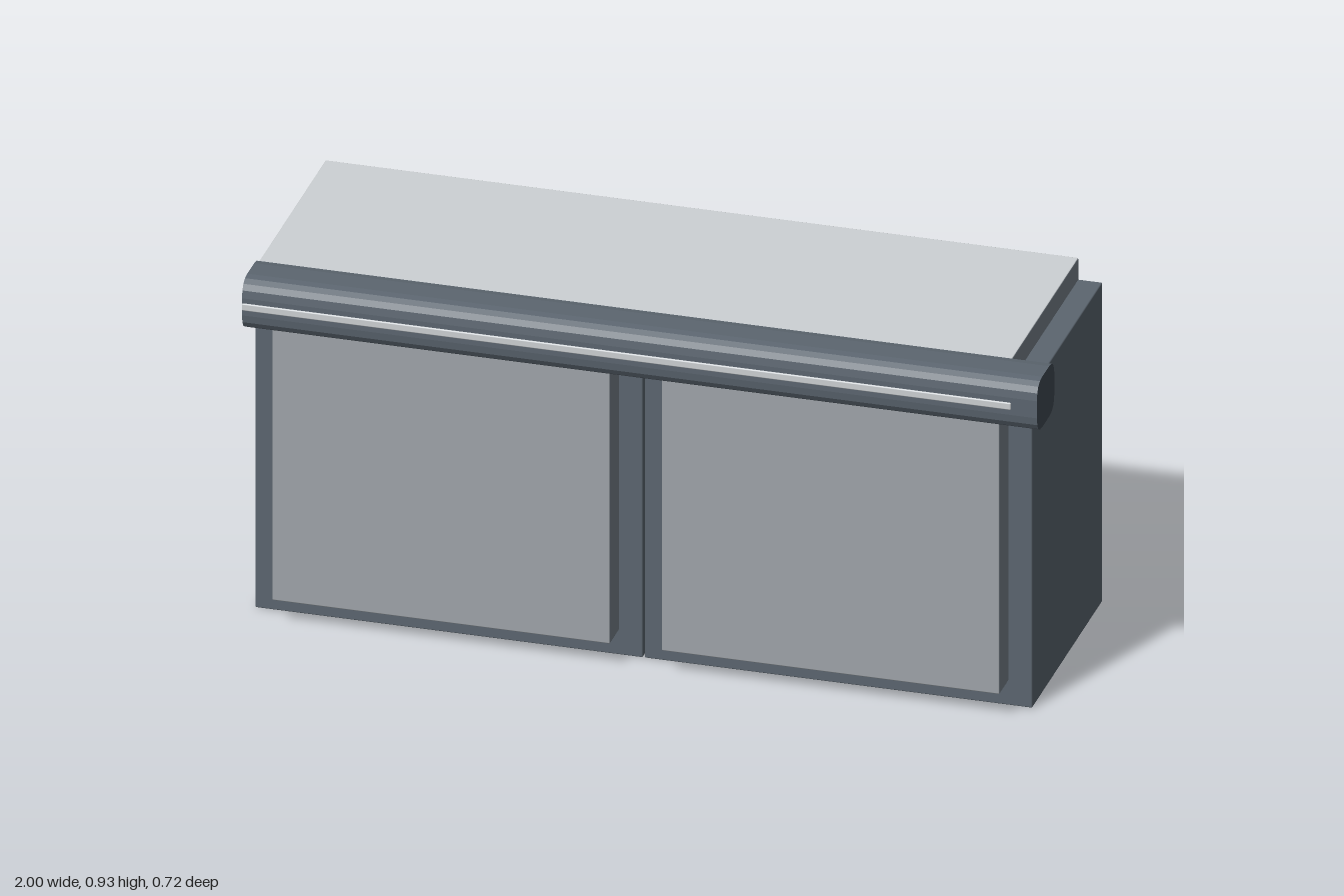
import * as THREE from 'three';
import { RoundedBoxGeometry } from 'three/addons/geometries/RoundedBoxGeometry.js';

const paint = (color) => new THREE.MeshStandardMaterial({ color });

export function createModel() {
  const group = new THREE.Group();
  const slate = paint(0x5c6670);
  const edge = paint(0x78828c);
  const panelFace = paint(0xa0a5aa);
  const worktop = paint(0xcdd1d4);
  const capDark = paint(0x414a53);

  // Finely bevelled block given by its min and max corners
  function block(name, min, max, material) {
    const size = max.map((v, i) => v - min[i]);
    const mesh = new THREE.Mesh(new RoundedBoxGeometry(...size, 1, 0.003), material);
    mesh.position.set(...max.map((v, i) => (v + min[i]) / 2));
    mesh.name = name;
    group.add(mesh);
  }

  // Two cabinets side by side, each with a pale-fronted panel running through it
  for (const [side, x] of [['right', -1], ['left', -0.02]]) {
    block(`${side}Cabinet`, [x, 0, -0.36], [x + 0.975, 0.86, 0.245], slate);
    block(`${side}Panel`, [x + 0.065, 0.065, -0.361], [x + 0.915, 0.8, 0.322],
      [edge, edge, edge, edge, panelFace, edge]);
  }

  // Worktop, stopping short of the left end
  block('worktop', [-1, 0.855, -0.361], [0.895, 0.918, 0.24],
    [edge, edge, worktop, edge, edge, edge]);

  // Rounded rail along the front edge
  const w = 0.075, h = 0.068, r = 0.045;
  const profile = new THREE.Shape();
  profile.moveTo(-w + r, -h);
  profile.lineTo(w - r, -h);
  profile.quadraticCurveTo(w, -h, w, -h + r);
  profile.lineTo(w, h - r);
  profile.quadraticCurveTo(w, h, w - r, h);
  profile.lineTo(-w + r, h);
  profile.quadraticCurveTo(-w, h, -w, h - r);
  profile.lineTo(-w, -h + r);
  profile.quadraticCurveTo(-w, -h, -w + r, -h);
  const railGeometry = new THREE.ExtrudeGeometry(profile, {
    depth: 2, bevelEnabled: false, curveSegments: 4,
  });
  railGeometry.rotateY(-Math.PI / 2);
  const rail = new THREE.Mesh(railGeometry, [capDark, slate]);
  rail.position.set(1, 0.864, 0.283);
  rail.name = 'frontRail';
  group.add(rail);

  // Pale trim strip on the rail
  block('railTrim', [-1, 0.855, 0.34], [0.935, 0.874, 0.362], worktop);

  return group;
}
